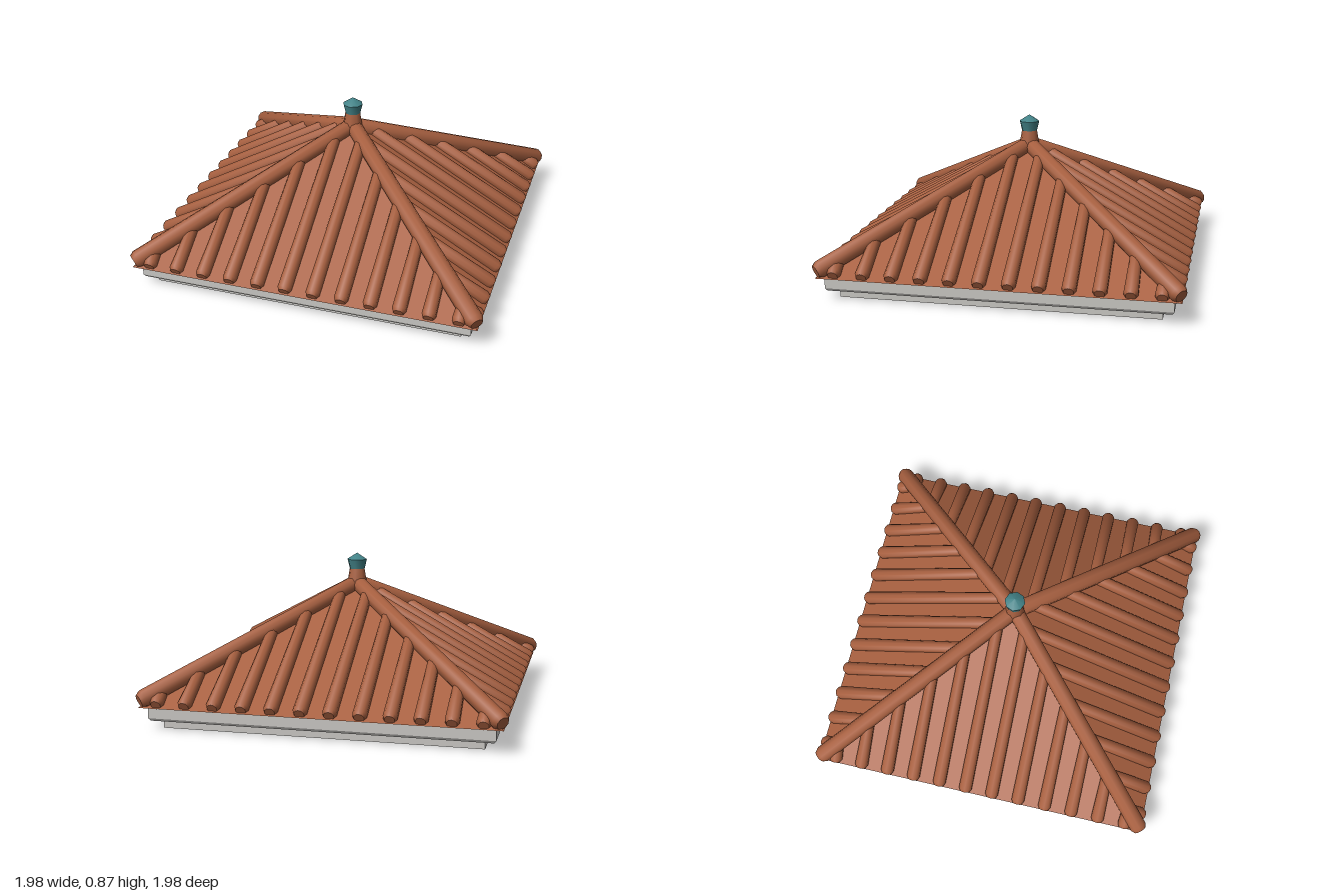
import * as THREE from 'three';
import { toCreasedNormals } from 'three/addons/utils/BufferGeometryUtils.js';

export function createModel() {
  const model = new THREE.Group();
  model.name = 'hippedTileRoof';
  const tile = new THREE.MeshStandardMaterial({ name: 'terracotta', color: 0xa86040 });
  const stone = new THREE.MeshStandardMaterial({ name: 'paleStone', color: 0xc8c6c2 });
  const teal = new THREE.MeshStandardMaterial({ name: 'tealGlaze', color: 0x438388 });

  const EAVE = 0.97, EAVE_Y = 0.13, APEX_Y = 0.685;

  const add = (parent, name, geometry, material) => {
    const mesh = new THREE.Mesh(geometry, material);
    mesh.name = name;
    parent.add(mesh);
    return mesh;
  };

  // Square tapered block: half widths at the bottom and top
  const block = (name, bottom, top, y0, y1, material) => {
    const g = new THREE.CylinderGeometry(top * Math.SQRT2, bottom * Math.SQRT2, y1 - y0, 4)
      .rotateY(Math.PI / 4).translate(0, (y0 + y1) / 2, 0);
    return add(model, name, toCreasedNormals(g, 0.3), material);
  };

  // Round tile bar from point a to point b, with a chamfered lower end
  const bar = (parent, name, a, b, r0, r1, sides) => {
    const dir = b.clone().sub(a), len = dir.length();
    const profile = [[0, 0], [r0 * 0.72, 0], [r0, r0 * 0.5], [r1, len - r1 * 0.4], [r1 * 0.7, len], [0, len]]
      .map(([x, y]) => new THREE.Vector2(x, y));
    const mesh = add(parent, name, toCreasedNormals(new THREE.LatheGeometry(profile, sides), 0.9), tile);
    mesh.position.copy(a);
    mesh.quaternion.setFromUnitVectors(new THREE.Vector3(0, 1, 0), dir.normalize());
  };

  // Stepped cornice
  block('lowerCornice', 0.868, 0.868, 0, 0.055, stone);
  block('corniceChamfer', 0.92, 0.93, 0.05, 0.065, stone);
  block('upperCornice', 0.93, 0.93, 0.065, 0.132, stone);

  // Pyramid roof body
  block('roofSlopes', EAVE, 0.001, EAVE_Y, APEX_Y, tile);

  // Rows of tile ribs on the four slopes, and one hip ridge per corner
  const surfaceY = z => EAVE_Y + (APEX_Y - EAVE_Y) * (1 - z / EAVE);
  for (let side = 0; side < 4; side++) {
    const slope = new THREE.Group();
    slope.name = 'slopeRibs' + (side + 1);
    slope.rotation.y = side * Math.PI / 2;
    for (let i = 0; i < 12; i++) {
      const x = (i - 5.5) * 0.158, zTop = Math.abs(x);
      bar(slope, 'tileRib',
        new THREE.Vector3(x, surfaceY(0.968) + 0.018, 0.968),
        new THREE.Vector3(x, surfaceY(zTop) + 0.014, zTop), 0.039, 0.033, 10);
    }
    bar(slope, 'hipRidge', new THREE.Vector3(0.964, 0.167, 0.964),
      new THREE.Vector3(0, 0.7, 0), 0.05, 0.046, 10);
    model.add(slope);
  }

  // Neck and faceted finial at the peak
  const neck = new THREE.CylinderGeometry(0.043, 0.064, 0.12, 8).translate(0, 0.73, 0);
  add(model, 'finialNeck', toCreasedNormals(neck, 0.9), tile);
  const knob = [[0, 0.772], [0.044, 0.78], [0.058, 0.837], [0, 0.874]].map(([x, y]) => new THREE.Vector2(x, y));
  add(model, 'finialKnob', toCreasedNormals(new THREE.LatheGeometry(knob, 8), 0.9), teal);

  return model;
}
